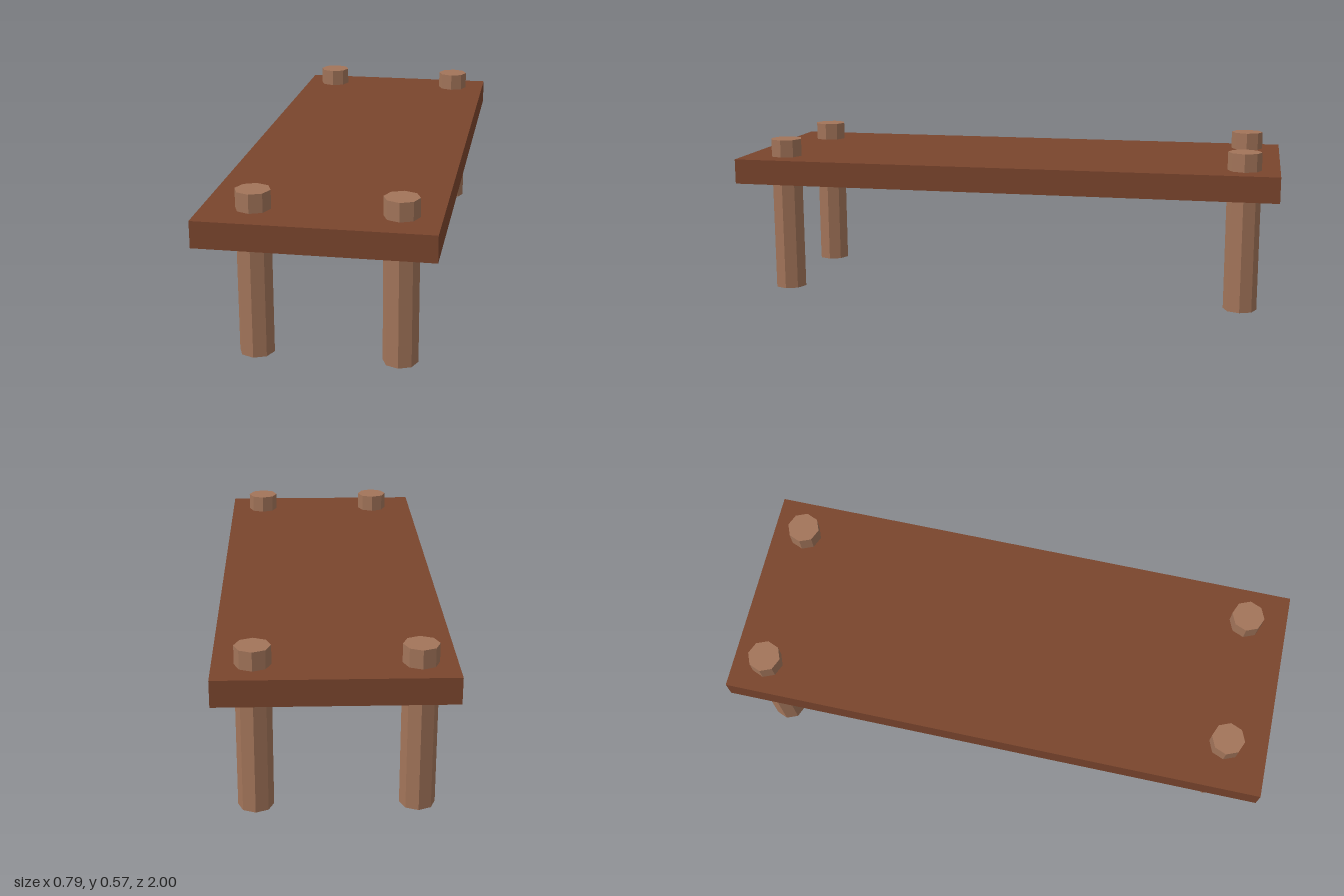
import * as THREE from 'three';

export function createModel() {
  const group = new THREE.Group();
  const boardWood = new THREE.MeshStandardMaterial({ color: 0x7a452d, flatShading: true });
  const legWood = new THREE.MeshStandardMaterial({ color: 0xa3755a, flatShading: true });

  // Long flat board
  const board = new THREE.Mesh(new THREE.BoxGeometry(0.79, 0.092, 2), boardWood);
  board.name = 'benchTop';
  board.position.y = 0.464;
  group.add(board);

  // Octagonal posts that pass through the board; one stands slightly inward
  const legHeight = 0.575;
  const legGeometry = new THREE.CylinderGeometry(0.06, 0.06, legHeight, 8);
  const legs = [
    ['frontLeftLeg', 0.262, 0.847],
    ['frontRightLeg', -0.225, 0.847],
    ['backLeftLeg', 0.262, -0.875],
    ['backRightLeg', -0.276, -0.875],
  ];
  for (const [name, x, z] of legs) {
    const leg = new THREE.Mesh(legGeometry, legWood);
    leg.name = name;
    leg.position.set(x, legHeight / 2, z);
    group.add(leg);
  }
  return group;
}
